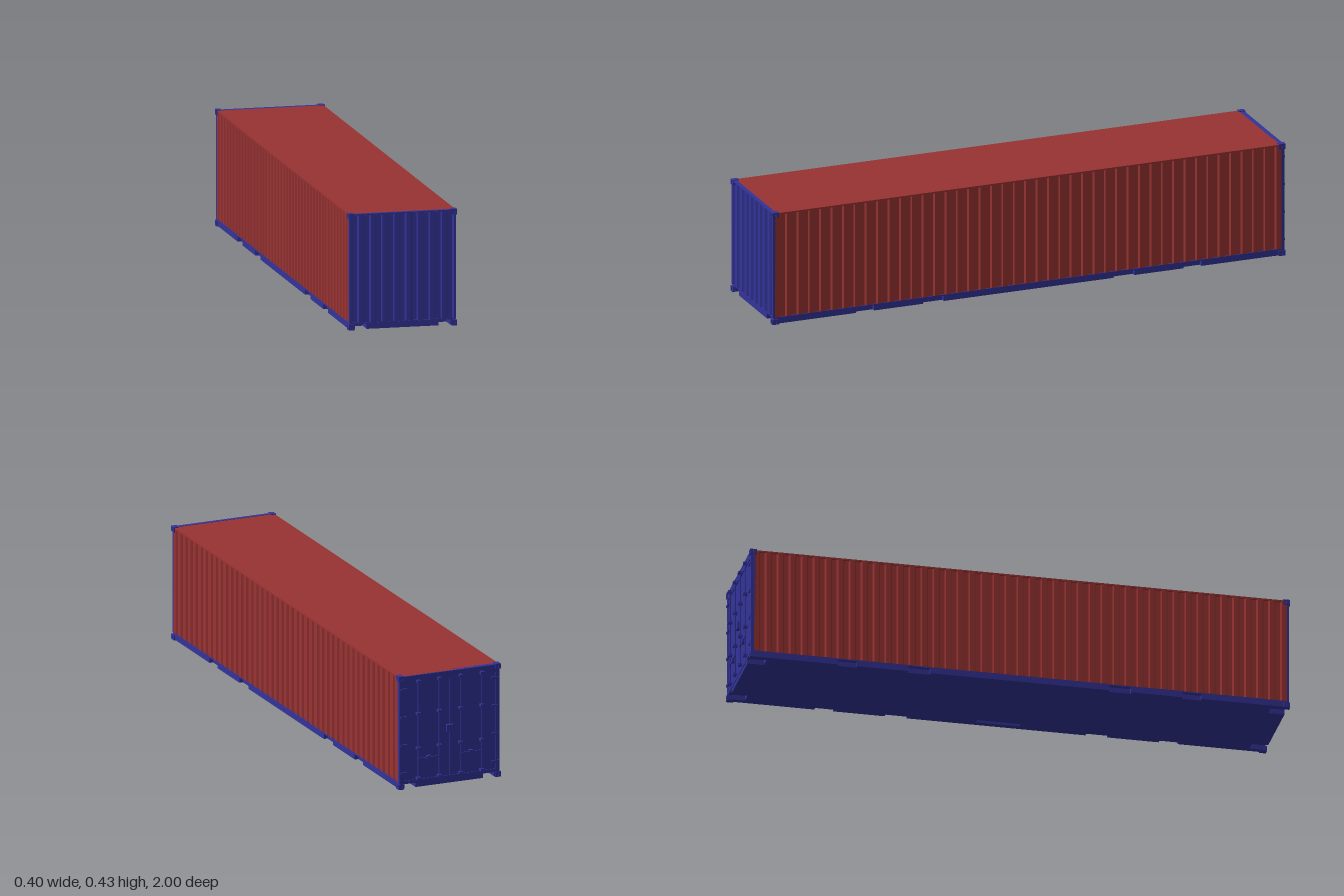
import * as THREE from 'three';

const red = new THREE.MeshStandardMaterial({ color: 0x993333 });
const blue = new THREE.MeshStandardMaterial({ color: 0x333399 });

function add(parent, name, geometry, material, x = 0, y = 0, z = 0) {
  const mesh = new THREE.Mesh(geometry, material);
  mesh.name = name;
  mesh.position.set(x, y, z);
  parent.add(mesh);
  return mesh;
}

const box = (w, h, d) => new THREE.BoxGeometry(w, h, d);

// Plan shape raised straight up from y = 0; shape y becomes -z
function raise(shape, height) {
  return new THREE.ExtrudeGeometry(shape, { depth: height, bevelEnabled: false }).rotateX(-Math.PI / 2);
}

// Wall slab facing +z with upright trapezoid grooves, outer face on z = 0
function corrugated(length, height, count, pitch, depth) {
  const s = new THREE.Shape();
  s.moveTo(-length / 2, 0);
  for (let i = 0; i < count; i++) {
    const c = (i - (count - 1) / 2) * pitch;
    s.lineTo(c - pitch * 0.3, 0);
    s.lineTo(c - pitch * 0.2, depth);
    s.lineTo(c + pitch * 0.2, depth);
    s.lineTo(c + pitch * 0.3, 0);
  }
  s.lineTo(length / 2, 0);
  s.lineTo(length / 2, depth + 0.004);
  s.lineTo(-length / 2, depth + 0.004);
  return raise(s, height);
}

// Underframe plan with open pockets at the ends and along both sides
function baseGeometry() {
  const W = 0.197, L = 0.99, e = L - 0.06, p = W - 0.014;
  const quarter = [[0.133, L], [0.133, e], [0.177, e], [0.177, L], [W, L],
    [W, 0.67], [p, 0.67], [p, 0.6], [W, 0.6], [W, 0.41], [p, 0.41], [p, 0.33], [W, 0.33]];
  const back = [...quarter].reverse();
  const outline = [
    ...quarter, ...back.map(([x, z]) => [x, -z]),
    ...quarter.map(([x, z]) => [-x, -z]), ...back.map(([x, z]) => [-x, z]),
  ];
  const s = new THREE.Shape(outline.map(([x, z]) => new THREE.Vector2(x, z)));
  for (const side of [-1, 1]) {
    const hole = [[0.155, -0.08], [0.175, -0.08], [0.175, 0.08], [0.155, 0.08]];
    s.holes.push(new THREE.Path(hole.map(([x, z]) => new THREE.Vector2(side * x, z))));
  }
  return raise(s, 0.022);
}

// Plate with an oval opening, facing +z
function ovalPlate(w, h, t) {
  const s = new THREE.Shape();
  s.moveTo(-w / 2, -h / 2).lineTo(w / 2, -h / 2).lineTo(w / 2, h / 2).lineTo(-w / 2, h / 2);
  const hole = new THREE.Path();
  hole.absellipse(0, 0, 0.004, 0.0065, 0, Math.PI * 2, true);
  s.holes.push(hole);
  return new THREE.ExtrudeGeometry(s, { depth: t, bevelEnabled: false, curveSegments: 8 });
}

function cornerCasting(sx, sy, sz) {
  const g = new THREE.Group();
  g.name = 'cornerCasting';
  add(g, 'castingCore', box(0.016, 0.02, 0.022), blue);
  const end = add(g, 'castingEndPlate', ovalPlate(0.021, 0.02, 0.003), blue, sx * 0.0005, 0, sz * 0.011);
  if (sz < 0) end.rotation.y = Math.PI;
  const side = add(g, 'castingSidePlate', ovalPlate(0.022, 0.02, 0.003), blue, sx * 0.008, 0, 0);
  side.rotation.y = sx * Math.PI / 2;
  g.position.set(sx * 0.19, sy > 0 ? 0.417 : 0.01, sz > 0 ? 0.986 : -0.977);
  return g;
}

function createDoors() {
  const g = new THREE.Group();
  g.name = 'doorEnd';
  add(g, 'rearHeader', box(0.396, 0.029, 0.018), blue, 0, 0.4095, -0.979);
  add(g, 'rearSill', box(0.396, 0.012, 0.018), blue, 0, 0.025, -0.979);
  for (const s of [-1, 1]) {
    add(g, 'rearPost', box(0.014, 0.4, 0.018), blue, s * 0.191, 0.215, -0.979);
    add(g, 'door', box(0.182, 0.365, 0.012), blue, s * 0.092, 0.2125, -0.979);
    // Hinges along the outer edge
    for (let i = 0; i < 4; i++) {
      add(g, 'hinge', box(0.028, 0.008, 0.006), blue, s * 0.181, 0.06 + i * 0.105, -0.988);
    }
    for (const x of [0.042, 0.125]) {
      add(g, 'lockRod', new THREE.CylinderGeometry(0.003, 0.003, 0.38, 8), blue, s * x, 0.22, -0.992);
      for (const y of [0.036, 0.15, 0.28, 0.402]) {
        add(g, 'rodBracket', box(0.014, 0.009, 0.016), blue, s * x, y, -0.992);
      }
      // Handle and its catch
      add(g, 'lockHandle', box(0.05, 0.005, 0.004), blue, s * (x - 0.02 * Math.sign(x - 0.08)), 0.11, -0.994);
      add(g, 'handleCatch', box(0.012, 0.014, 0.012), blue, s * (x - 0.04 * Math.sign(x - 0.08)), 0.11, -0.99);
    }
  }
  add(g, 'lockBox', box(0.026, 0.026, 0.012), blue, 0, 0.21, -0.99);
  return g;
}

export function createModel() {
  const model = new THREE.Group();
  model.name = 'shippingContainer';

  // Underframe and floor
  add(model, 'underframe', baseGeometry(), blue, 0, 0.002, 0.004);
  add(model, 'floor', box(0.394, 0.005, 1.975), blue, 0, 0.0235, 0.005);

  // Roof
  add(model, 'roof', box(0.396, 0.006, 1.972), red, 0, 0.421, 0.004);

  // Corrugated side walls
  for (const s of [-1, 1]) {
    const wall = add(model, 'sideWall', corrugated(1.966, 0.394, 44, 0.0442, 0.007), red, s * 0.198, 0.026, 0.006);
    wall.rotation.y = s * Math.PI / 2;
  }

  // Corrugated front wall with its top rail
  add(model, 'frontWall', corrugated(0.396, 0.394, 9, 0.044, 0.008), blue, 0, 0.026, 0.997);
  add(model, 'frontTopRail', box(0.396, 0.005, 0.014), blue, 0, 0.4225, 0.99);

  model.add(createDoors());

  // Corner castings
  for (const sx of [-1, 1]) for (const sy of [-1, 1]) for (const sz of [-1, 1]) {
    model.add(cornerCasting(sx, sy, sz));
  }
  return model;
}
